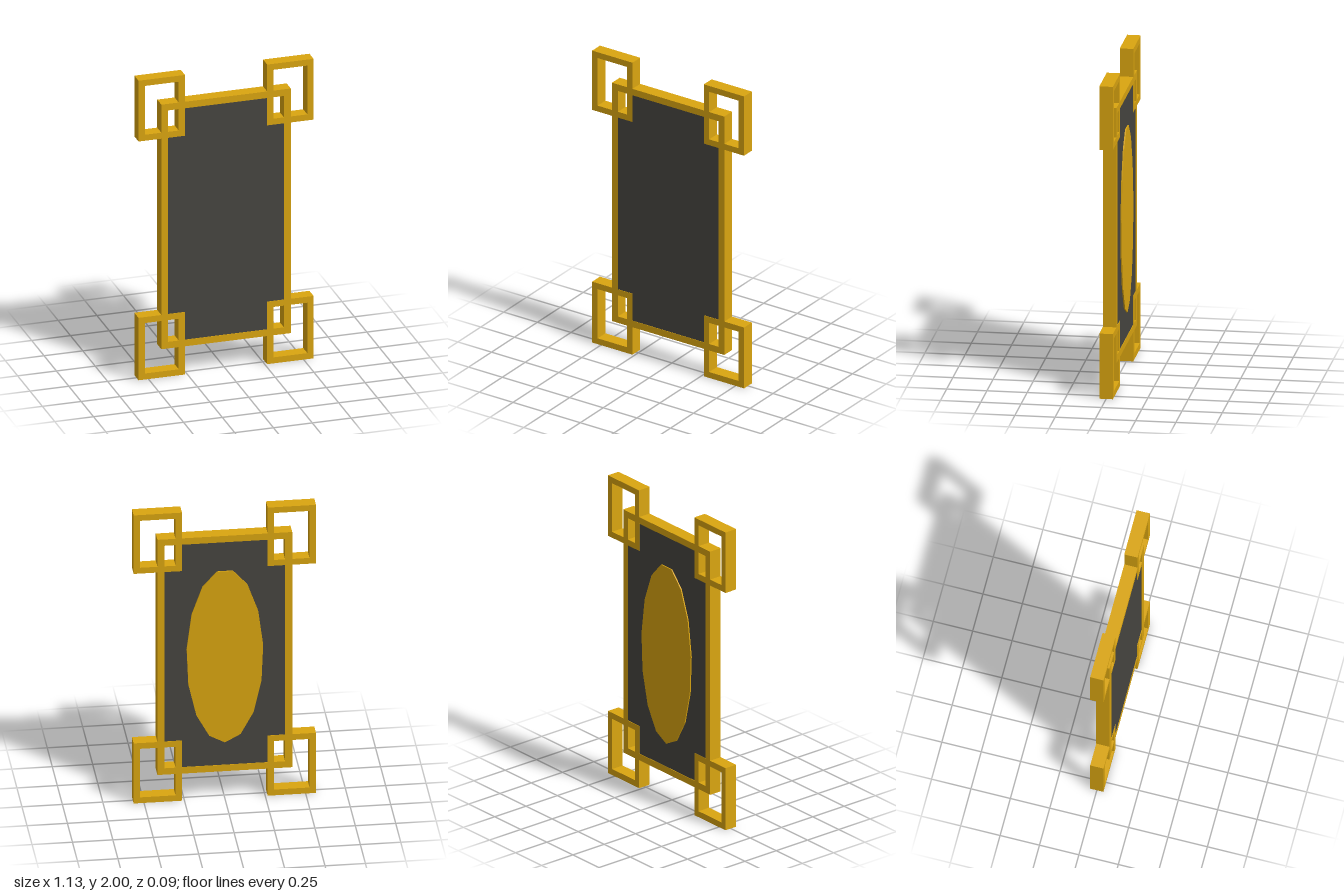
import * as THREE from 'three';

const gold = new THREE.MeshStandardMaterial({ color: 0xdaa510, flatShading: true });
const dark = new THREE.MeshStandardMaterial({ color: 0x464540, flatShading: true });
const DEPTH = 0.084;

// Corner points of an axis-aligned rectangle
const rect = (x0, y0, x1, y1) =>
  [[x0, y0], [x1, y0], [x1, y1], [x0, y1]].map(([x, y]) => new THREE.Vector2(x, y));

// Shape extruded along z and centred on z = 0
function slab(name, shape, depth, material) {
  const geometry = new THREE.ExtrudeGeometry(shape, { depth, bevelEnabled: false });
  geometry.translate(0, 0, -depth / 2);
  const mesh = new THREE.Mesh(geometry, material);
  mesh.name = name;
  return mesh;
}

// Rectangular ring of square-cut bars
function ring(name, x0, y0, x1, y1, bar) {
  const shape = new THREE.Shape(rect(x0, y0, x1, y1));
  shape.holes.push(new THREE.Path(rect(x0 + bar, y0 + bar, x1 - bar, y1 - bar)));
  return slab(name, shape, DEPTH, gold);
}

export function createModel() {
  const model = new THREE.Group();
  model.name = 'framedPanel';

  // Main frame
  model.add(ring('mainFrame', -0.417, 0.188, 0.417, 1.821, 0.044));

  // Interlocking corner frames
  for (const [side, s] of [['Left', 1], ['Right', -1]]) {
    const x0 = s > 0 ? 0.265 : -0.564;
    const x1 = x0 + 0.299;
    model.add(ring('top' + side + 'CornerFrame', x0, 1.594, x1, 2, 0.04));
    model.add(ring('bottom' + side + 'CornerFrame', x0, 0, x1, 0.417, 0.04));
  }

  // Dark panel, notched where the corner frames cross it
  const outline = [
    [-0.28, 0.21], [0.28, 0.21], [0.28, 0.4], [0.39, 0.4], [0.39, 1.61], [0.28, 1.61],
    [0.28, 1.8], [-0.28, 1.8], [-0.28, 1.61], [-0.39, 1.61], [-0.39, 0.4], [-0.28, 0.4],
  ].map(([x, y]) => new THREE.Vector2(x, y));
  model.add(slab('panel', new THREE.Shape(outline), DEPTH - 0.006, dark));

  // Thin faceted oval on the back
  const points = [];
  for (let i = 0; i < 15; i++) {
    const a = -Math.PI / 2 + (i / 15) * Math.PI * 2;
    points.push(new THREE.Vector2(0.238 * Math.cos(a), 0.6 * Math.sin(a)));
  }
  const oval = slab('backOval', new THREE.Shape(points), 0.014, gold);
  oval.position.set(0, 0.99, -0.04);
  model.add(oval);

  return model;
}
